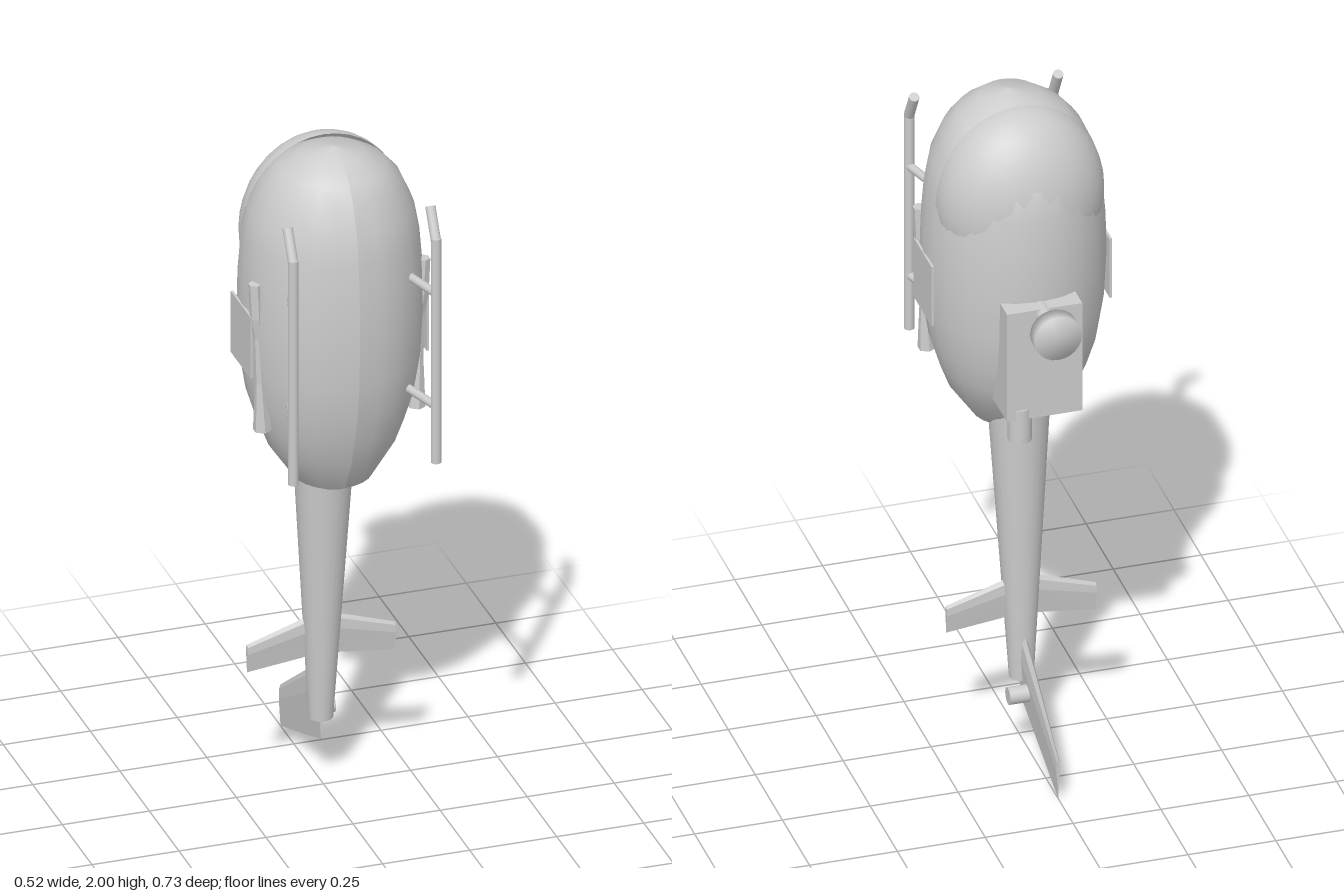
import * as THREE from 'three';

export function createModel() {
  const model = new THREE.Group();
  model.name = 'helicopter';
  const grey = new THREE.MeshStandardMaterial({ color: 0xcccccc, side: THREE.DoubleSide });
  grey.name = 'light grey';

  const V = (x, y, z) => new THREE.Vector3(x, y, z);
  const add = (name, geometry, x = 0, y = 0, z = 0) => {
    const mesh = new THREE.Mesh(geometry, grey);
    mesh.name = name;
    mesh.position.set(x, y, z);
    model.add(mesh);
    return mesh;
  };
  // Round rod from a (radius ra) to b (radius rb)
  const rod = (name, a, b, ra, rb = ra, sides = 16) => {
    const mesh = add(name, new THREE.CylinderGeometry(rb, ra, a.distanceTo(b), sides));
    mesh.position.copy(a).add(b).multiplyScalar(0.5);
    mesh.quaternion.setFromUnitVectors(V(0, 1, 0), b.clone().sub(a).normalize());
    return mesh;
  };
  // Tapered blade: a thin airfoil lofted between two stations.
  // Each station: [span, leading y, trailing y, thickness]; place() maps (span, y, t) to a point
  const blade = (name, stations, place) => {
    const section = [[0, 0], [0.1, 0.42], [0.35, 0.5], [1, 0], [0.35, -0.5], [0.1, -0.42]];
    const n = section.length, pos = [], index = [];
    for (const [s, lead, trail, thick] of stations)
      for (const [c, t] of section) pos.push(...place(s, lead + (trail - lead) * c, t * thick));
    for (let i = 0; i < n; i++) {
      const j = (i + 1) % n;
      index.push(i, j, n + i, j, n + j, n + i);
    }
    for (let i = 1; i < n - 1; i++) index.push(0, i + 1, i, n, n + i, n + i + 1);
    const g = new THREE.BufferGeometry();
    g.setAttribute('position', new THREE.Float32BufferAttribute(pos, 3));
    g.setIndex(index);
    const flat = g.toNonIndexed();
    flat.computeVertexNormals();
    return add(name, flat);
  };

  // Fuselage: egg-shaped lathe whose tips lean slightly forward
  const profile = [[0, 0.963], [0.06, 0.975], [0.11, 1.0], [0.178, 1.1], [0.205, 1.17], [0.23, 1.25],
    [0.248, 1.36], [0.255, 1.5], [0.252, 1.62], [0.243, 1.73], [0.228, 1.81], [0.19, 1.895],
    [0.15, 1.94], [0.085, 1.982], [0, 2]].map(([r, y]) => new THREE.Vector2(r, y));
  const hull = new THREE.LatheGeometry(profile, 24);
  const p = hull.attributes.position;
  for (let i = 0; i < p.count; i++) {
    const t = Math.abs(p.getY(i) - 1.48) / 0.52;
    p.setZ(i, p.getZ(i) + 0.055 + 0.033 * t ** 6);
  }
  hull.computeVertexNormals();
  add('fuselage', hull);

  // Canopy: half ellipsoid bulging from the nose
  const canopy = add('canopy', new THREE.SphereGeometry(1, 20, 20, Math.PI, Math.PI), 0, 1.72, 0);
  canopy.scale.set(0.237, 0.272, 0.18);

  // Tail boom
  rod('tailBoom', V(0, 0.2, -0.023), V(0, 1.12, 0.003), 0.034, 0.09, 24);

  // Tail fin and stabilizers
  blade('tailFin', [[-0.02, 0.37, 0.13, 0.024], [-0.363, 0.13, 0.003, 0.01]],
    (s, y, t) => [t, y, s]);
  for (const side of [1, -1])
    blade(side > 0 ? 'leftStabilizer' : 'rightStabilizer',
      [[0, 0.525, 0.395, 0.024], [0.213, 0.455, 0.37, 0.014]],
      (s, y, t) => [side * s, y, t - 0.02]);
  rod('tailRotorHub', V(0, 0.19, -0.103), V(0.063, 0.19, -0.103), 0.025);

  // Engine housing, exhaust and rotor mast
  add('engineHousing', new THREE.BoxGeometry(0.214, 0.34, 0.157), 0, 1.315, -0.16);
  rod('exhaust', V(0.063, 1.07, -0.212), V(0.063, 1.175, -0.212), 0.033);
  rod('rotorMast', V(0, 1.463, -0.1), V(0, 1.463, -0.33), 0.025);
  const hubProfile = [[0, -0.0225], [0.067, -0.0225], [0.067, 0.0225], [0, 0.0225]]
    .map(([r, y]) => new THREE.Vector2(r, y));
  const hub = new THREE.LatheGeometry(hubProfile, 24);
  add('rotorHub', hub, 0, 1.463, -0.343).rotation.x = -Math.PI / 2;

  // Parts mirrored on both sides
  for (const side of [1, -1]) {
    const label = side > 0 ? 'left' : 'right';

    // Side door plate
    add(label + 'DoorPlate', new THREE.BoxGeometry(0.007, 0.187, 0.165), side * 0.2535, 1.448, 0.055);

    // Flared side rail, leaning in towards the tail
    const railProfile = [[0, -0.225], [0.026, -0.225], [0.014, -0.08], [0.012, 0.06], [0.02, 0.12],
      [0.02, 0.225], [0, 0.225]].map(([r, y]) => new THREE.Vector2(r, y));
    const rail = add(label + 'SideRail', new THREE.LatheGeometry(railProfile, 6).toNonIndexed(),
      side * 0.231, 1.415, 0.133);
    rail.geometry.computeVertexNormals();
    rail.rotation.z = -side * 0.045;

    // Landing skid with its raised tip
    const x = side * 0.205;
    rod(label + 'Skid', V(x, 1.125, 0.348), V(x, 1.81, 0.348), 0.0145, 0.0145, 12);
    rod(label + 'SkidTip', V(x, 1.8, 0.348), V(x, 1.885, 0.3), 0.0145, 0.0145, 12);

    // Skid struts
    for (const y of [1.295, 1.64])
      rod(label + 'Strut', V(x, y, 0.345), V(side * 0.165, y, 0.21), 0.012, 0.012, 12);
  }
  return model;
}
